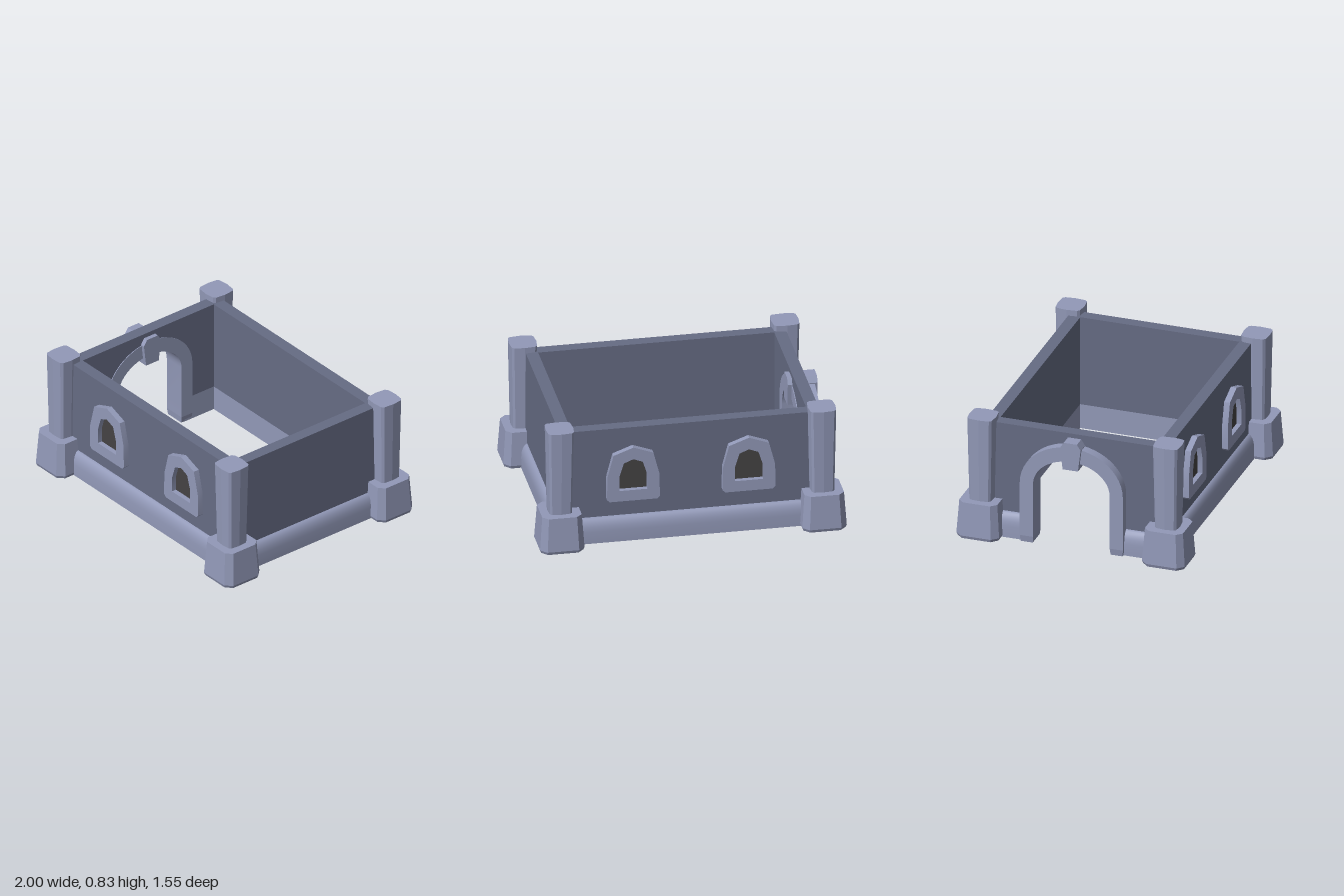
import * as THREE from 'three';
import { toCreasedNormals } from 'three/addons/utils/BufferGeometryUtils.js';

const stone = new THREE.MeshStandardMaterial({ color: 0x9299b8 });
stone.name = 'pale stone';
const wallStone = new THREE.MeshStandardMaterial({ color: 0x666c84 });
wallStone.name = 'dark wall stone';
const opening = new THREE.MeshStandardMaterial({ color: 0x454344 });
opening.name = 'dark window';

const WALL_TOP = 0.79, TRIM_TOP = 0.17, ARCH_Z = -0.01;

const shapeOf = (pts) => new THREE.Shape(pts.map(([x, y]) => new THREE.Vector2(x, y)));

function add(parent, name, geometry, material) {
  const mesh = new THREE.Mesh(geometry, material);
  mesh.name = name;
  parent.add(mesh);
  return mesh;
}

function extrude(shape, depth) {
  const g = new THREE.ExtrudeGeometry(shape, { depth, bevelEnabled: false, curveSegments: 12 });
  return toCreasedNormals(g, 0.6);
}

// Upright prism from y0 to y1 whose plan is scaled by s0 below and s1 above
function taperedPrism(shape, y0, y1, s0, s1) {
  const g = new THREE.ExtrudeGeometry(shape, { depth: 1, bevelEnabled: false });
  g.rotateX(-Math.PI / 2);
  const p = g.attributes.position;
  for (let i = 0; i < p.count; i++) {
    const t = p.getY(i), s = s0 + (s1 - s0) * t;
    p.setXYZ(i, p.getX(i) * s, y0 + (y1 - y0) * t, p.getZ(i) * s);
  }
  g.computeVertexNormals();
  return g;
}

// Rounded skirting whose flat back sits at z = inner, running from x0 to x1
function trim(parent, inner, x0, x1) {
  const profile = shapeOf([[0, 0], [0.12, 0], [0.12, 0.08], [0.116, 0.115], [0.107, 0.142],
    [0.094, 0.161], [0.078, TRIM_TOP], [0, TRIM_TOP]]);
  const g = extrude(profile, x1 - x0);
  g.rotateY(-Math.PI / 2); // profile x becomes z, depth becomes -x
  g.translate(x1, 0, inner);
  add(parent, 'baseTrim', g, stone);
}

// Plain wall with its outer face towards +z
function plainWall(parent, inner, halfLength) {
  const g = new THREE.BoxGeometry(halfLength * 2, WALL_TOP - TRIM_TOP, 0.08);
  g.translate(0, (WALL_TOP + TRIM_TOP) / 2, inner + 0.04);
  add(parent, 'wall', g, wallStone);
}

function windowUnit() {
  const group = new THREE.Group();
  group.name = 'window';
  const hole = [[-0.092, 0.36], [0.092, 0.36], [0.092, 0.46], [0.062, 0.555],
    [0, 0.58], [-0.062, 0.555], [-0.092, 0.46]];
  const frame = shapeOf([[-0.155, 0.285], [0.155, 0.285], [0.172, 0.302], [0.17, 0.46],
    [0.13, 0.615], [0, 0.663], [-0.13, 0.615], [-0.17, 0.46], [-0.172, 0.302]]);
  frame.holes.push(new THREE.Path(shapeOf(hole).getPoints()));
  add(group, 'windowFrame', extrude(frame, 0.045), stone).position.z = 0.615;
  add(group, 'windowPane', new THREE.ShapeGeometry(shapeOf(hole)), opening).position.z = 0.627;
  return group;
}

// Corner pillar; its plan is notched on the -x, +z side to follow the room's inner corner
function cornerPillar() {
  const group = new THREE.Group();
  group.name = 'cornerPillar';
  const h = 0.145, c = 0.042, n = 0.082;
  const foot = shapeOf([[-n, -n], [-n, -h], [h - c, -h], [h, c - h], [h, h - c], [h - c, h],
    [c - h, h], [-h, h - c], [-h, -n]]);
  add(group, 'pillarFoot', taperedPrism(foot, 0, 0.02, 0.95, 1), stone);
  add(group, 'pillarBase', taperedPrism(foot, 0.02, 0.25, 1, 0.89), stone);
  // Shaft with clipped corners and slightly swollen sides, widening upwards
  const a = 0.083, b = 0.068, m = 0.09;
  const shaft = shapeOf([[-b, -a], [0, -m], [b, -a], [a, -b], [m, 0], [a, b],
    [b, a], [0, m], [-b, a], [-a, b], [-m, 0], [-a, -b]]);
  add(group, 'pillarShaft', taperedPrism(shaft, 0.25, 0.83, 0.87, 1), stone);
  return group;
}

// Arch outline: legs of half-width w from y0, springing at 0.42, crown at top
function archPath(path, w, top, clockwise) {
  const s = clockwise ? -1 : 1;
  path.absellipse(0, 0.42, w, top - 0.42, s > 0 ? 0 : Math.PI, s > 0 ? Math.PI : 0, clockwise);
}

// Side wall at -x with the doorway, stone arch and keystone
function doorSide() {
  const group = new THREE.Group();
  group.name = 'doorSide';
  const place = (g, x, z = ARCH_Z) => g.rotateY(-Math.PI / 2).translate(x, 0, z);

  const wall = new THREE.Shape();
  wall.moveTo(-0.6, TRIM_TOP);
  wall.lineTo(-0.3, TRIM_TOP);
  wall.lineTo(-0.3, 0.42);
  archPath(wall, 0.3, 0.66, true);
  wall.lineTo(0.3, TRIM_TOP);
  wall.lineTo(0.6, TRIM_TOP);
  wall.lineTo(0.6, WALL_TOP);
  wall.lineTo(-0.6, WALL_TOP);
  add(group, 'doorWall', place(extrude(wall, 0.08), -0.77), wallStone);

  const arch = new THREE.Shape();
  arch.moveTo(0.35, 0.045);
  arch.lineTo(0.35, 0.42);
  archPath(arch, 0.35, 0.72, false);
  arch.lineTo(-0.35, 0.045);
  arch.lineTo(-0.26, 0.045);
  arch.lineTo(-0.26, 0.42);
  archPath(arch, 0.26, 0.62, true);
  arch.lineTo(0.26, 0.045);
  add(group, 'doorArch', place(extrude(arch, 0.15), -0.765), stone);

  const key = shapeOf([[-0.052, 0.57], [0.052, 0.57], [0.07, 0.72], [0.045, 0.76],
    [-0.045, 0.76], [-0.07, 0.72]]);
  add(group, 'keystone', place(extrude(key, 0.195), -0.74), stone);

  // Tapered feet under the arch legs
  const foot = shapeOf([[-0.075, -0.045], [0.075, -0.045], [0.075, 0.045], [-0.075, 0.045]]);
  for (const side of [-1, 1]) {
    add(group, 'archFoot', taperedPrism(foot, 0, 0.045, 0.9, 1), stone)
      .position.set(-0.84, 0, ARCH_Z + side * 0.305);
  }
  return group;
}

export function createModel() {
  const model = new THREE.Group();
  model.name = 'walledRoom';

  // Front and back walls with two windows each
  for (const [name, turn] of [['frontSide', 0], ['backSide', Math.PI]]) {
    const side = new THREE.Group();
    side.name = name;
    side.rotation.y = turn;
    plainWall(side, 0.54, 0.84);
    trim(side, 0.54, -0.84, 0.84);
    for (const x of [-0.377, 0.377]) {
      const w = windowUnit();
      w.position.x = x;
      side.add(w);
    }
    model.add(side);
  }

  // Plain wall on the +x side
  const plain = new THREE.Group();
  plain.name = 'plainSide';
  plain.rotation.y = Math.PI / 2;
  plainWall(plain, 0.77, 0.6);
  trim(plain, 0.77, -0.6, 0.6);
  model.add(plain);

  // Door wall with trim either side of the arch
  model.add(doorSide());
  const doorTrim = new THREE.Group();
  doorTrim.name = 'doorTrim';
  doorTrim.rotation.y = -Math.PI / 2;
  trim(doorTrim, 0.77, -0.6, -0.3);
  trim(doorTrim, 0.77, 0.28, 0.6);
  model.add(doorTrim);

  // Four corner pillars, notch turned to the inside
  const corners = [[1, -1, 0], [-1, -1, 1], [-1, 1, 2], [1, 1, 3]];
  for (const [sx, sz, quarter] of corners) {
    const pillar = cornerPillar();
    pillar.position.set(sx * 0.855, 0, sz * 0.63);
    pillar.rotation.y = quarter * Math.PI / 2;
    model.add(pillar);
  }
  return model;
}
